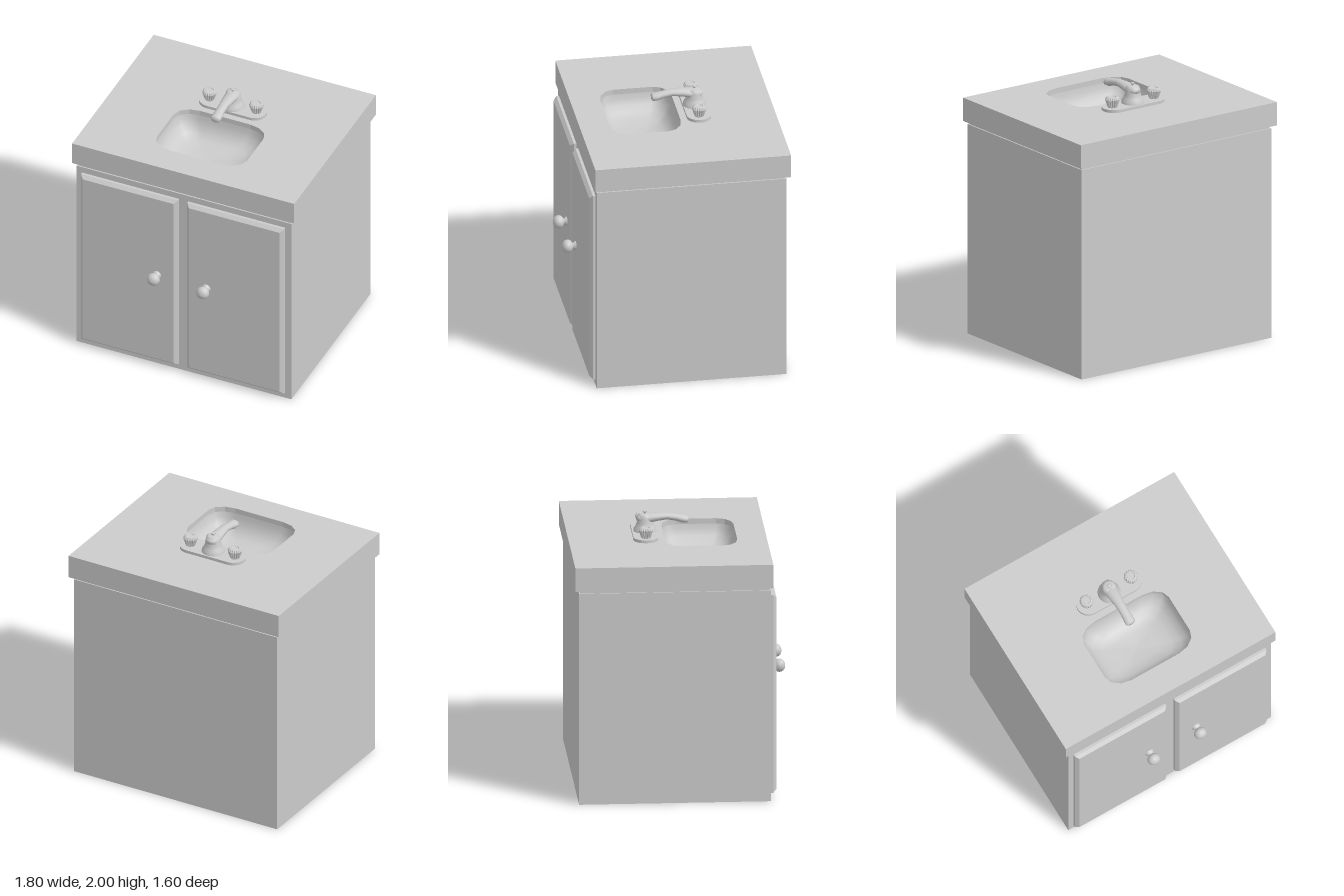
import * as THREE from 'three';

const material = new THREE.MeshStandardMaterial({ color: 0xcccccc });
const flat = new THREE.MeshStandardMaterial({ color: 0xcccccc, flatShading: true });
const doubleSided = new THREE.MeshStandardMaterial({ color: 0xcccccc, side: THREE.DoubleSide });

function add(parent, name, geometry, x = 0, y = 0, z = 0, mat = material) {
  const mesh = new THREE.Mesh(geometry, mat);
  mesh.name = name;
  mesh.position.set(x, y, z);
  parent.add(mesh);
  return mesh;
}

const rectangle = (x0, x1, y0, y1) => [[x0, y0], [x1, y0], [x1, y1], [x0, y1]].map(p => new THREE.Vector2(...p));

// Rounded rectangle outline with elliptical corners, counter-clockwise
function roundedOutline(cx, cy, halfW, halfH, rx, ry, steps) {
  const points = [];
  [[1, 1], [-1, 1], [-1, -1], [1, -1]].forEach(([sx, sy], corner) => {
    for (let i = 0; i <= steps; i++) {
      const a = (corner + i / steps) * Math.PI / 2;
      points.push(new THREE.Vector2(
        cx + sx * (halfW - rx) + rx * Math.cos(a),
        cy + sy * (halfH - ry) + ry * Math.sin(a)));
    }
  });
  return points;
}

// Flat slab lying in x-z, from an outline given in (x, -z)
function slab(outline, height, hole) {
  const shape = new THREE.Shape(outline);
  if (hole) shape.holes.push(new THREE.Path(hole));
  return new THREE.ExtrudeGeometry(shape, { depth: height, bevelEnabled: false }).rotateX(-Math.PI / 2);
}

// Smooth skin over closed rings with equal point counts
function loft(rings) {
  const n = rings[0].length, index = [];
  for (let i = 0; i < rings.length - 1; i++) {
    for (let j = 0; j < n; j++) {
      const a = i * n + j, b = i * n + (j + 1) % n;
      index.push(a, b, b + n, a, b + n, a + n);
    }
  }
  const geometry = new THREE.BufferGeometry().setFromPoints(rings.flat());
  geometry.setIndex(index);
  geometry.computeVertexNormals();
  return geometry;
}

const lathe = (profile, segments) =>
  new THREE.LatheGeometry(profile.map(p => new THREE.Vector2(...p)), segments);

// Fluted tap handle, widening upwards with a chamfered top
function flutedHandle() {
  const g = lathe([[0.034, 0], [0.04, 0.015], [0.055, 0.062], [0.046, 0.078], [0.03, 0.08], [0.027, 0.075], [0, 0.075]], 36);
  const pos = g.attributes.position;
  for (let i = 0; i < pos.count; i++) {
    const x = pos.getX(i), z = pos.getZ(i), r = Math.hypot(x, z);
    const tooth = Math.round(Math.atan2(z, x) / (Math.PI / 18));
    if (r > 0.038 && Math.abs(tooth % 2) === 1) {
      pos.setX(i, x * 0.87);
      pos.setZ(i, z * 0.87);
    }
  }
  return g;
}

export function createModel() {
  const model = new THREE.Group();
  model.name = 'vanityCabinet';

  // Hollow cabinet with a recessed strip under the worktop
  const cabinet = new THREE.Group();
  cabinet.name = 'cabinet';
  model.add(cabinet);
  const inside = rectangle(-0.82, 0.82, -0.6, 0.72);
  add(cabinet, 'bottomBoard', new THREE.BoxGeometry(1.66, 0.04, 1.34), 0, 0.0205, -0.06);
  add(cabinet, 'sides', slab(rectangle(-0.87, 0.87, -0.65, 0.77), 1.62, inside));
  add(cabinet, 'recessedStrip', slab(rectangle(-0.86, 0.86, -0.64, 0.76), 0.025, inside), 0, 1.62);

  // Worktop with the basin opening
  const bowlZ = 0.178;
  const opening = roundedOutline(0, -bowlZ, 0.364, 0.267, 0.16, 0.117, 3);
  add(model, 'worktop', slab(rectangle(-0.9, 0.9, -0.665, 0.8), 0.18, opening), 0, 1.645);

  // Basin, listed from the drain up to the rim as [scale, height]
  const outline = roundedOutline(0, 0, 0.364, 0.267, 0.16, 0.117, 3);
  const bowl = [[0, 1.61], [0.4, 1.615], [0.65, 1.63], [0.82, 1.66], [0.93, 1.705], [0.98, 1.75], [1, 1.785]];
  add(model, 'basin', loft(bowl.map(([s, y]) =>
    outline.map(p => new THREE.Vector3(p.x * s, y, p.y * s)))), 0, 0, bowlZ, doubleSided);

  // Bevelled doors and round knobs
  const knob = lathe([[0.036, 0], [0.033, 0.01], [0.022, 0.025], [0.024, 0.03], [0.042, 0.041], [0.05, 0.06],
    [0.047, 0.08], [0.037, 0.095], [0.02, 0.105], [0, 0.108]], 20).rotateX(Math.PI / 2);
  const bevel = 0.025;
  for (const [side, x0, x1] of [[-1, -0.825, -0.04], [1, 0.035, 0.82]]) {
    const name = side > 0 ? 'left' : 'right';
    const panel = new THREE.Shape(rectangle(x0 + bevel, x1 - bevel, 0.05 + bevel, 1.57 - bevel));
    add(model, name + 'Door', new THREE.ExtrudeGeometry(panel, {
      depth: 0.025, bevelSize: bevel, bevelThickness: bevel, bevelSegments: 1,
    }), 0, 0, 0.645);
    add(model, name + 'Knob', knob, side * 0.2, 0.85, 0.692);
  }

  // Tap: base plate, handles, bell body, spout and lift rod
  const tap = new THREE.Group();
  tap.name = 'tap';
  model.add(tap);
  const tapZ = -0.23;
  add(tap, 'basePlate', slab(roundedOutline(0, 0, 0.267, 0.091, 0.091, 0.091, 8), 0.022), 0, 1.825, tapZ);
  for (const side of [-1, 1]) {
    add(tap, side > 0 ? 'leftHandle' : 'rightHandle', flutedHandle(), side * 0.19, 1.845, tapZ, flat);
  }
  add(tap, 'body', lathe([[0.086, 0], [0.083, 0.02], [0.07, 0.04], [0.06, 0.065], [0.056, 0.1],
    [0.05, 0.125], [0.035, 0.133], [0, 0.135]], 24), 0, 1.845, tapZ + 0.005);

  // Spout sections from back to front: z, centre y, half width, half height
  const sections = [
    [-0.285, 1.945, 0, 0], [-0.283, 1.945, 0.025, 0.018], [-0.265, 1.943, 0.045, 0.031], [-0.21, 1.942, 0.053, 0.038],
    [-0.14, 1.952, 0.045, 0.032], [-0.06, 1.957, 0.036, 0.026], [0.01, 1.945, 0.035, 0.027],
    [0.05, 1.934, 0.039, 0.031], [0.085, 1.931, 0.039, 0.028], [0.096, 1.931, 0.03, 0.022], [0.098, 1.931, 0, 0],
  ];
  add(tap, 'spout', loft(sections.map(([z, y, rx, ry]) =>
    Array.from({ length: 16 }, (_, i) => {
      const a = i * Math.PI / 8;
      return new THREE.Vector3(rx * Math.cos(a), y + ry * Math.sin(a), z);
    }))));
  add(tap, 'liftRod', lathe([[0.007, 0], [0.007, 0.025], [0.017, 0.033], [0.014, 0.038], [0, 0.04]], 12), 0, 1.96, tapZ + 0.005);

  return model;
}
